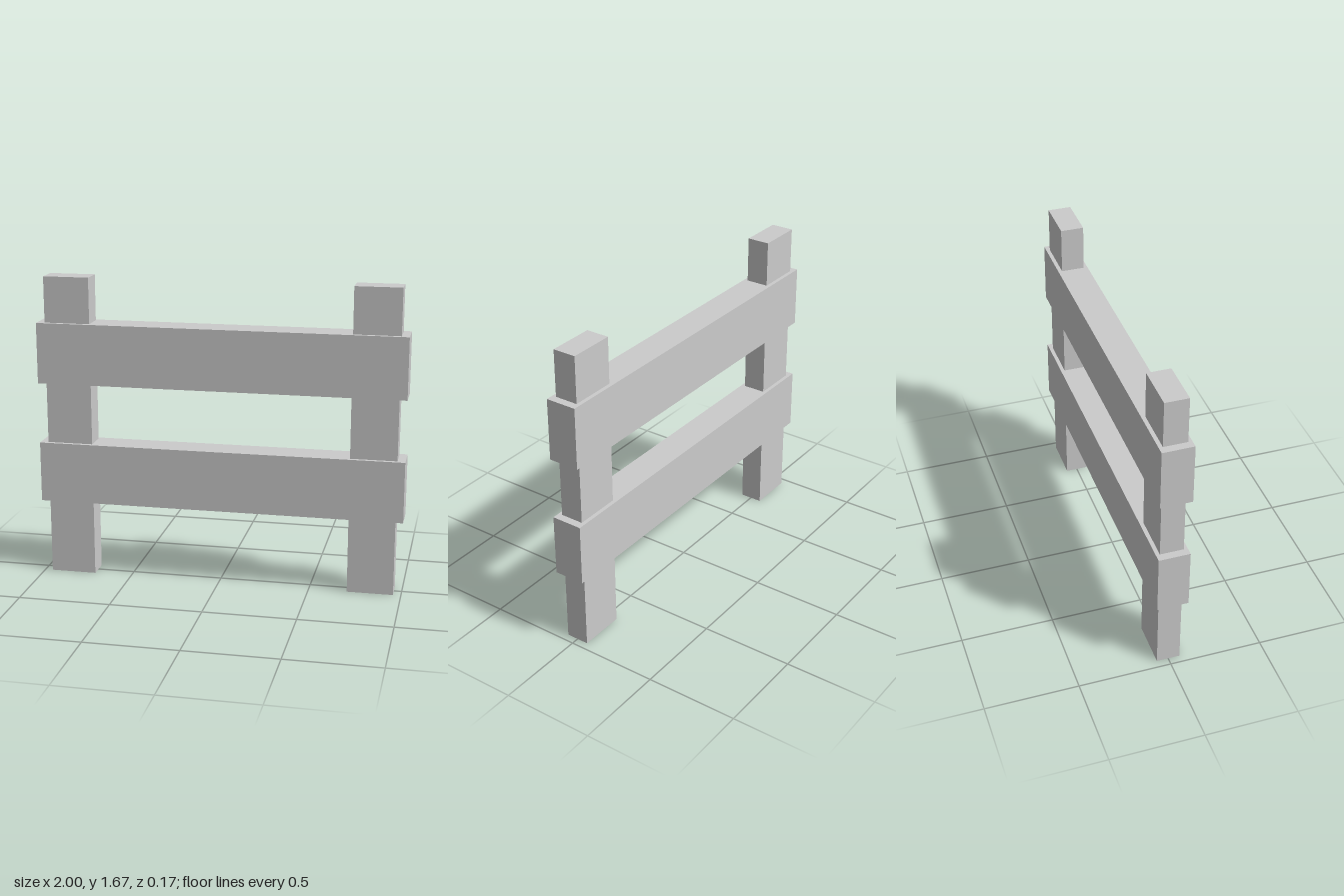
import * as THREE from 'three';

export function createModel() {
  const group = new THREE.Group();
  const material = new THREE.MeshStandardMaterial({ color: 0xcccccc, flatShading: true });

  function addBeam(name, size, position) {
    const mesh = new THREE.Mesh(new THREE.BoxGeometry(...size), material);
    mesh.name = name;
    mesh.position.set(...position);
    group.add(mesh);
  }

  // Two upright posts, mirrored about the centre
  for (const [name, side] of [['leftPost', 1], ['rightPost', -1]]) {
    addBeam(name, [0.25, 1.667, 0.125], [side * 0.833, 0.8335, 0]);
  }

  // Two horizontal rails, thicker than the posts that run through them
  for (const [name, y] of [['lowerRail', 0.583], ['upperRail', 1.25]]) {
    addBeam(name, [2, 0.333, 0.167], [0, y, 0]);
  }

  return group;
}
